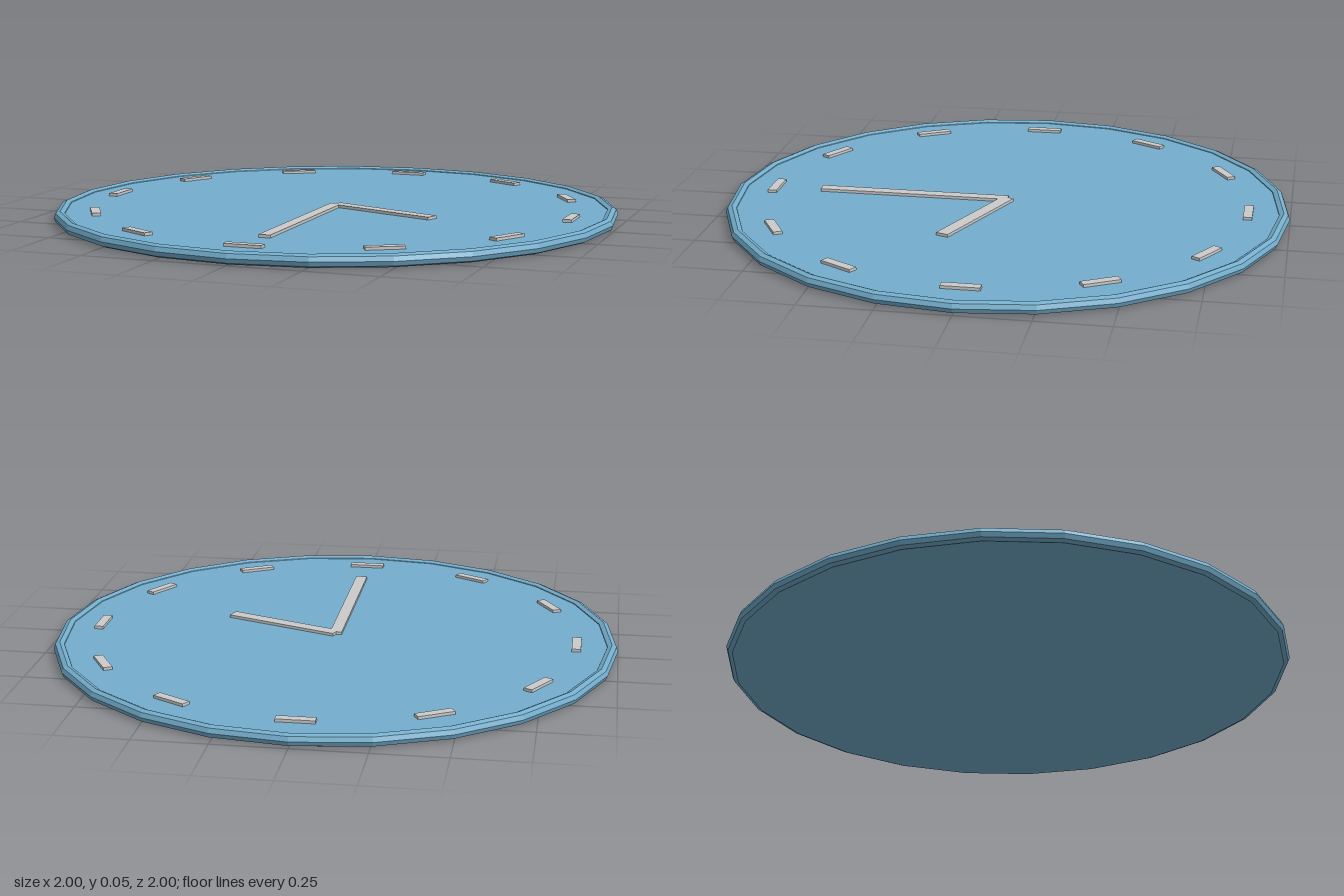
import * as THREE from 'three';

export function createModel() {
  const group = new THREE.Group();
  group.name = 'wallClock';

  const blue = new THREE.MeshStandardMaterial({ color: 0x74aecd, flatShading: true });
  blue.name = 'clockBlue';
  const grey = new THREE.MeshStandardMaterial({ color: 0xcbcbcb, flatShading: true });
  grey.name = 'lightGrey';

  const SIDES = 24;
  const TUBE = 0.022;
  const FACE_TOP = 0.035;
  const FACE_BOTTOM = 0.005;
  const TOP = 0.045;

  const add = (name, geometry, material) => {
    const mesh = new THREE.Mesh(geometry, material);
    mesh.name = name;
    group.add(mesh);
    return mesh;
  };

  // Thin raised bar on the dial, its length along local x
  const addBar = (name, length, width, x, z, turn) => {
    const height = TOP - FACE_TOP + 0.004;
    const bar = add(name, new THREE.BoxGeometry(length, height, width), grey);
    bar.position.set(x, TOP - height / 2, z);
    bar.rotation.y = turn;
  };

  // Dial disc
  const dial = add('dial', new THREE.CylinderGeometry(0.967, 0.967, FACE_TOP - FACE_BOTTOM, SIDES), blue);
  dial.position.y = (FACE_TOP + FACE_BOTTOM) / 2;

  // Faceted rim lying flat around the dial
  const rimGeometry = new THREE.TorusGeometry(1 - TUBE, TUBE, 8, SIDES);
  rimGeometry.rotateX(-Math.PI / 2);
  const rim = add('rim', rimGeometry, blue);
  rim.position.y = TUBE;

  // Twelve hour marks set across the radius
  for (let i = 0; i < 12; i++) {
    const a = (i * Math.PI) / 6;
    addBar('hourMark' + (i + 1), 0.13, 0.032, Math.sin(a) * 0.855, Math.cos(a) * 0.855, a);
  }

  // Hands, each starting at the centre
  const addHand = (name, length, width, angle) =>
    addBar(name, length, width, (Math.cos(angle) * length) / 2, (Math.sin(angle) * length) / 2, -angle);
  addHand('minuteHand', 0.685, 0.042, Math.PI / 2);
  addHand('hourHand', 0.435, 0.046, THREE.MathUtils.degToRad(21));

  return group;
}
